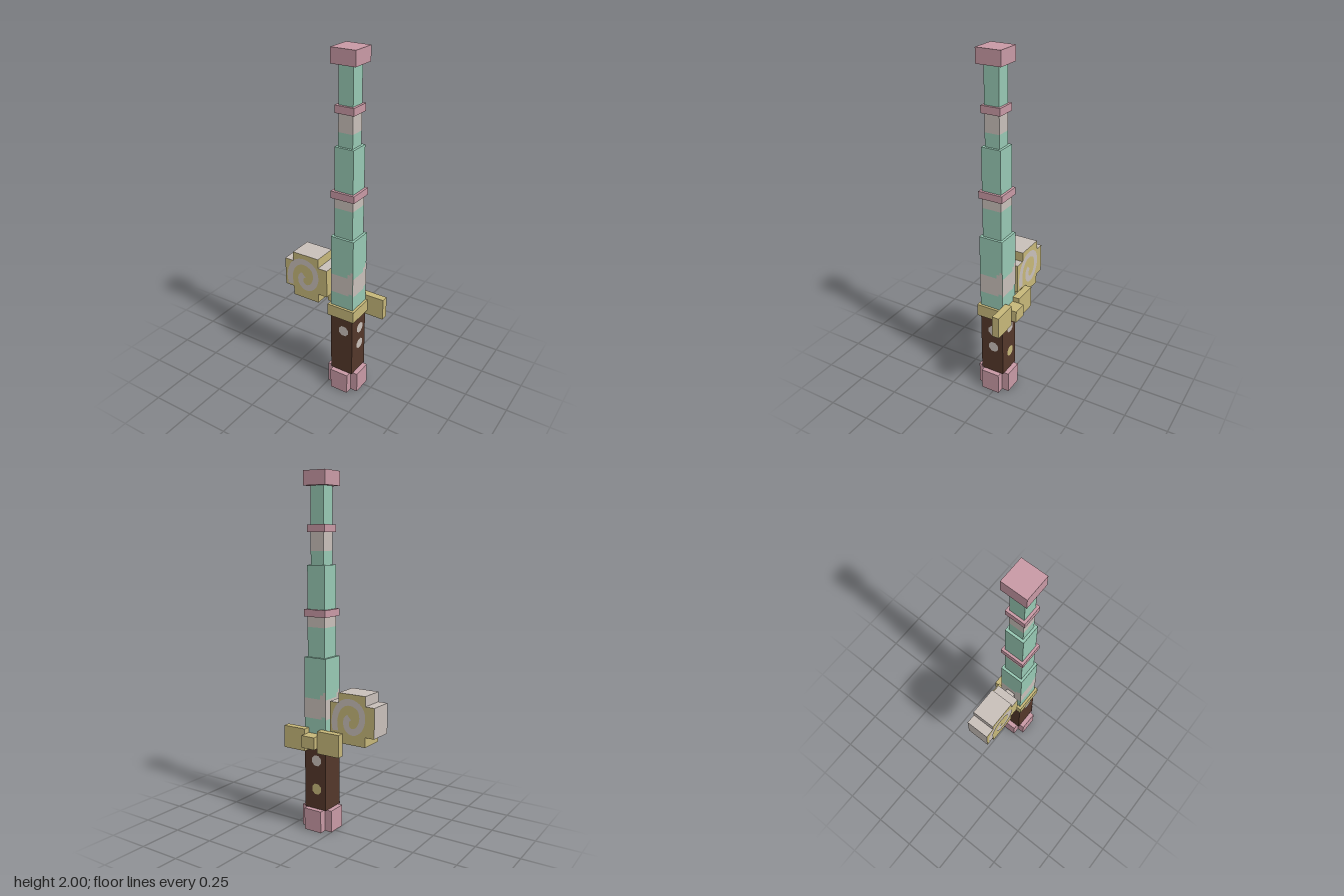
import * as THREE from 'three';

export function createModel() {
  const model = new THREE.Group();
  const mat = (name, color) => {
    const m = new THREE.MeshStandardMaterial({ color });
    m.name = name;
    return m;
  };
  const green = mat('mint green', 0x98c9b4);
  const pink = mat('dusty pink', 0xc99aa6);
  const gold = mat('pale gold', 0xc7b87a);
  const grey = mat('warm grey', 0xc9c0ba);
  const brown = mat('dark brown', 0x54372a);

  // Axis of the shaft
  const CX = 0.099, CZ = 0.02;

  const add = (name, geometry, material, parent = model) => {
    const mesh = new THREE.Mesh(geometry, material);
    mesh.name = name;
    parent.add(mesh);
    return mesh;
  };
  // Box given by its limits on each axis
  const box = (name, [x0, x1], [y0, y1], [z0, z1], material) => {
    const mesh = add(name, new THREE.BoxGeometry(x1 - x0, y1 - y0, z1 - z0), material);
    mesh.position.set((x0 + x1) / 2, (y0 + y1) / 2, (z0 + z1) / 2);
    return mesh;
  };
  // Square section centred on the shaft axis
  const section = (name, width, y0, y1, material) => {
    const h = width / 2;
    return box(name, [CX - h, CX + h], [y0, y1], [CZ - h, CZ + h], material);
  };

  // Pommel: two crossed blocks
  box('pommelSide', [0, 0.198], [0, 0.127], [CZ - 0.056, CZ + 0.056], pink);
  box('pommelFront', [CX - 0.056, CX + 0.056], [0, 0.127], [CZ - 0.099, CZ + 0.099], pink);

  // Grip and stepped shaft
  section('grip', 0.141, 0.127, 0.5, brown);
  section('collar', 0.17, 0.5, 0.57, gold);
  section('lowerShaft', 0.141, 0.57, 1.0, green);
  section('middleShaftBottom', 0.113, 1.0, 1.167, green);
  section('middleShaftBand', 0.113, 1.167, 1.245, grey);
  section('middleShaftTop', 0.113, 1.245, 1.505, green);
  section('middleRing', 0.141, 1.225, 1.265, pink);
  section('upperShaftBottom', 0.085, 1.505, 1.58, green);
  section('upperShaftBand', 0.085, 1.58, 1.7, grey);
  section('upperShaftTop', 0.085, 1.7, 1.922, green);
  section('upperRing', 0.113, 1.68, 1.72, pink);
  section('cap', 0.141, 1.922, 2.0, pink);

  // Ragged band painted round the lower shaft
  const bandShape = new THREE.Shape([
    [-0.0705, 0.657], [0.045, 0.657], [0.045, 0.672], [0.0705, 0.672], [0.0705, 0.812],
    [0.055, 0.812], [0.055, 0.795], [0.036, 0.795], [0.036, 0.77], [-0.0705, 0.77],
  ].map(([x, y]) => new THREE.Vector2(x, y)));
  for (let i = 0; i < 4; i++) {
    const geo = new THREE.ShapeGeometry(bandShape);
    geo.translate(0, 0, 0.0717).rotateY(i * Math.PI / 2);
    add('lowerBand', geo, grey).position.set(CX, 0, CZ);
  }

  // Studs on the grip: angle round the axis, sideways offset, height, colour
  for (const [angle, u, y, material] of [
    [0, 0.014, 0.413, grey],
    [Math.PI / 2, 0.01, 0.413, grey],
    [Math.PI / 2, 0.01, 0.302, grey],
    [Math.PI, 0.01, 0.413, grey],
    [Math.PI, 0.01, 0.245, gold],
  ]) {
    const geo = new THREE.CircleGeometry(0.033, 8, Math.PI / 8);
    geo.translate(u, y, 0.0725).rotateY(angle);
    add('gripStud', geo, material).position.set(CX, 0, CZ);
  }

  // Cross guard at the back: hub and two plates
  box('guardHub', [0.057, 0.141], [0.5, 0.57], [-0.122, -0.052], gold);
  box('guardPlateRight', [-0.085, 0.057], [0.472, 0.6], [-0.093, -0.052], gold);
  box('guardPlateLeft', [0.141, 0.283], [0.472, 0.6], [-0.093, -0.052], gold);

  // Shell at the side: three stacked slabs, grey on the top and outer faces
  const shell = [gold, grey, grey, gold, gold, gold];
  const depth = [-0.05, 0.09];
  box('shellTop', [-0.227, -0.058], [0.77, 0.826], depth, shell);
  box('shellMiddle', [-0.283, 0], [0.6, 0.77], depth, shell);
  box('shellBottom', [-0.227, -0.058], [0.544, 0.6], depth, [gold, gold, gold, gold, gold, gold]);
  box('shellMount', [0, 0.0285], [0.64, 0.725], [-0.008, 0.047], grey);

  // Spiral ribbon painted on both faces of the shell
  const path = new THREE.SplineCurve([
    [-0.104, -0.072], [-0.109, -0.011], [-0.088, 0.053], [-0.045, 0.09], [0.008, 0.094],
    [0.056, 0.064], [0.068, 0.005], [0.045, -0.048], [0.003, -0.068], [-0.03, -0.046],
    [-0.033, -0.006], [-0.014, 0.012],
  ].map(([x, y]) => new THREE.Vector2(x, y)));
  const outer = [], inner = [];
  for (let i = 0; i <= 36; i++) {
    const p = path.getPoint(i / 36), t = path.getTangent(i / 36);
    const n = new THREE.Vector2(-t.y, t.x).multiplyScalar(0.0185);
    outer.push(p.clone().add(n));
    inner.unshift(p.clone().sub(n));
  }
  const spiralShape = new THREE.Shape([...outer, ...inner]);
  for (const angle of [0, Math.PI]) {
    const geo = new THREE.ShapeGeometry(spiralShape);
    geo.translate(0, 0, 0.072).rotateY(angle);
    add('shellSpiral', geo, grey).position.set(-0.1415, 0.685, CZ);
  }

  return model;
}
